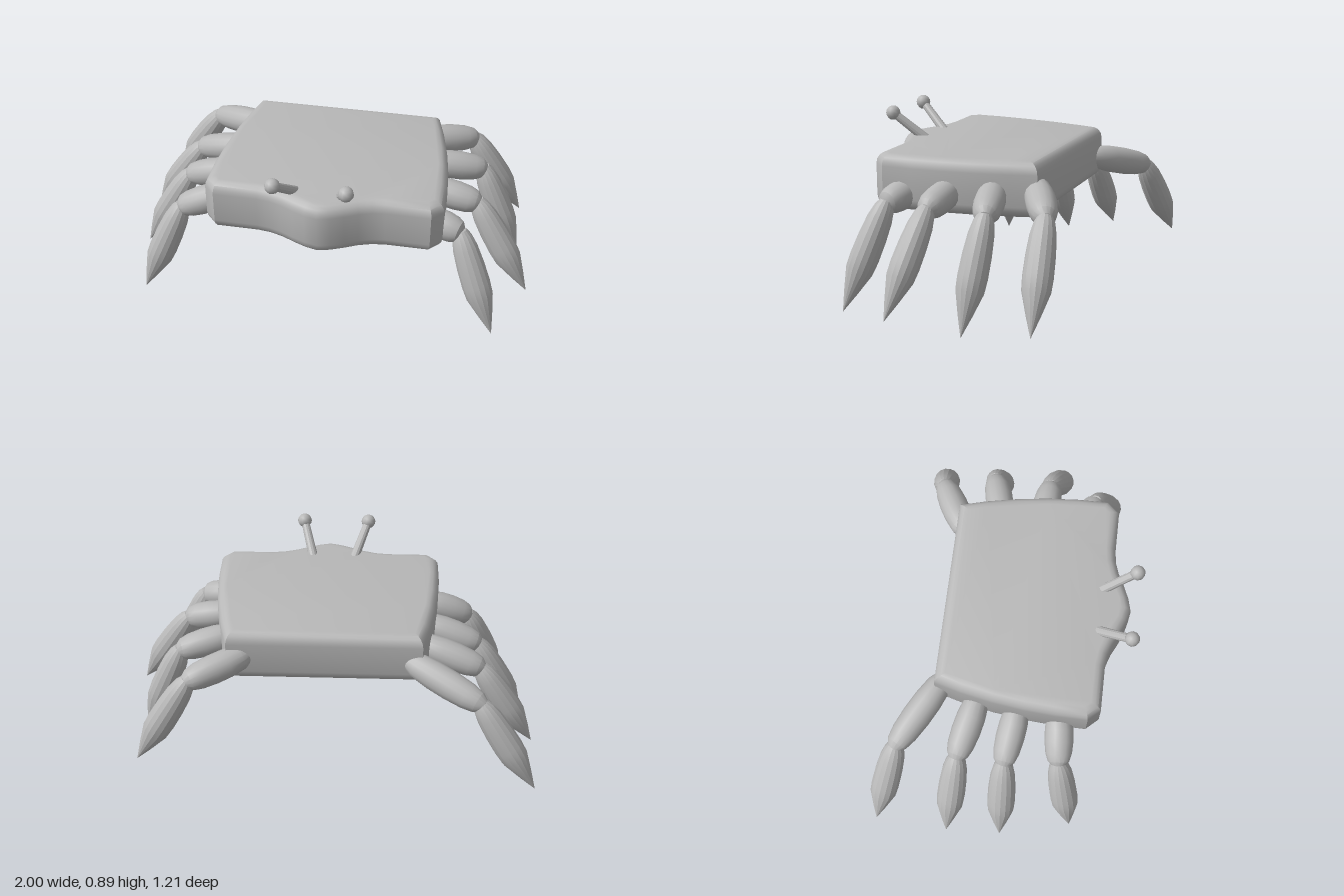
import * as THREE from 'three';
import { toCreasedNormals } from 'three/addons/utils/BufferGeometryUtils.js';

const shellGrey = new THREE.MeshStandardMaterial({ color: 0xb8b8b8 });
shellGrey.name = 'shell grey';

const UP = new THREE.Vector3(0, 1, 0);

function makeMesh(geometry, name) {
  const mesh = new THREE.Mesh(geometry, shellGrey);
  mesh.name = name;
  return mesh;
}

// Turned limb between two points; profile rows are [radius, fraction of length]
function limb(name, from, to, profile, sides = 16, crease = 0.5) {
  const a = new THREE.Vector3(...from);
  const dir = new THREE.Vector3(...to).sub(a);
  const length = dir.length();
  const points = profile.map(([r, t]) => new THREE.Vector2(r, t * length));
  const mesh = makeMesh(toCreasedNormals(new THREE.LatheGeometry(points, sides), crease), name);
  mesh.position.copy(a);
  mesh.quaternion.setFromUnitVectors(UP, dir.normalize());
  return mesh;
}

// Shell: half outline as [offset from shell middle, z], mirrored about x = 0.03
function shell() {
  const half = [
    [0.46, -0.33], [0.495, -0.2], [0.525, -0.05], [0.545, 0.1], [0.556, 0.25], [0.557, 0.4],
    [0.505, 0.457], [0.3, 0.457], [0.24, 0.465], [0.18, 0.485], [0.12, 0.515], [0.06, 0.54],
  ];
  const outline = [
    ...half.map(([x, z]) => new THREE.Vector2(x, -z)),
    new THREE.Vector2(0, -0.555),
    ...half.slice().reverse().map(([x, z]) => new THREE.Vector2(-x, -z)),
  ];
  const bevel = 0.05;
  const geometry = new THREE.ExtrudeGeometry(new THREE.Shape(outline), {
    depth: 0.15, bevelEnabled: true, bevelSize: bevel, bevelOffset: -bevel,
    bevelThickness: 0.055, bevelSegments: 4,
  });
  geometry.rotateX(-Math.PI / 2);
  const mesh = makeMesh(toCreasedNormals(geometry, 0.6), 'shell');
  mesh.position.set(0.03, 0.54, 0);
  return mesh;
}

const UPPER = [[0, -0.12], [0.04, -0.08], [0.06, 0.05], [0.069, 0.3], [0.07, 0.55],
  [0.064, 0.8], [0.052, 0.96], [0.03, 1.05], [0, 1.08]];
const LOWER = [[0, -0.04], [0.032, -0.02], [0.047, 0.04], [0.059, 0.15], [0.066, 0.32],
  [0.068, 0.5], [0.064, 0.62], [0.032, 0.82], [0, 1]];

// Legs front to back: [hip, knee, tip]
const LEGS = {
  left: [
    [[0.5, 0.57, 0.29], [0.665, 0.54, 0.34], [0.855, 0.06, 0.475]],
    [[0.5, 0.59, 0.085], [0.725, 0.55, 0.105], [1.0, 0.105, 0.185]],
    [[0.48, 0.6, -0.115], [0.73, 0.55, -0.18], [0.94, 0.06, -0.155]],
    [[0.41, 0.61, -0.3], [0.665, 0.555, -0.435], [0.935, 0.105, -0.475]],
  ],
  right: [
    [[-0.47, 0.56, 0.27], [-0.69, 0.47, 0.29], [-0.89, 0, 0.38]],
    [[-0.46, 0.56, 0.07], [-0.72, 0.475, 0.03], [-0.98, 0.015, 0.035]],
    [[-0.45, 0.57, -0.125], [-0.72, 0.49, -0.195], [-1.0, 0.07, -0.23]],
    [[-0.39, 0.59, -0.305], [-0.7, 0.5, -0.49], [-0.98, 0.07, -0.585]],
  ],
};

function leg(side, index, [hip, knee, tip]) {
  const group = new THREE.Group();
  group.name = `${side}Leg${index + 1}`;
  group.add(limb('upperLeg', hip, knee, UPPER), limb('lowerLeg', knee, tip, LOWER, 16, 0.25));
  return group;
}

// Eye stalk with a ball on its end
function eye(name, baseX, ballX) {
  const group = new THREE.Group();
  group.name = name;
  const ballAt = [ballX, 0.855, 0.562];
  const stalk = limb('eyeStalk', [baseX, 0.715, 0.395], ballAt, [[0, 0], [0.024, 0], [0.02, 1], [0, 1]], 12);
  const ball = makeMesh(new THREE.SphereGeometry(0.036, 10, 8), 'eyeball');
  ball.position.set(...ballAt);
  group.add(stalk, ball);
  return group;
}

export function createModel() {
  const model = new THREE.Group();
  model.name = 'crab';
  model.add(shell(), eye('rightEye', -0.09, -0.165), eye('leftEye', 0.11, 0.165));
  for (const [side, legs] of Object.entries(LEGS)) {
    legs.forEach((points, i) => model.add(leg(side, i, points)));
  }
  return model;
}
